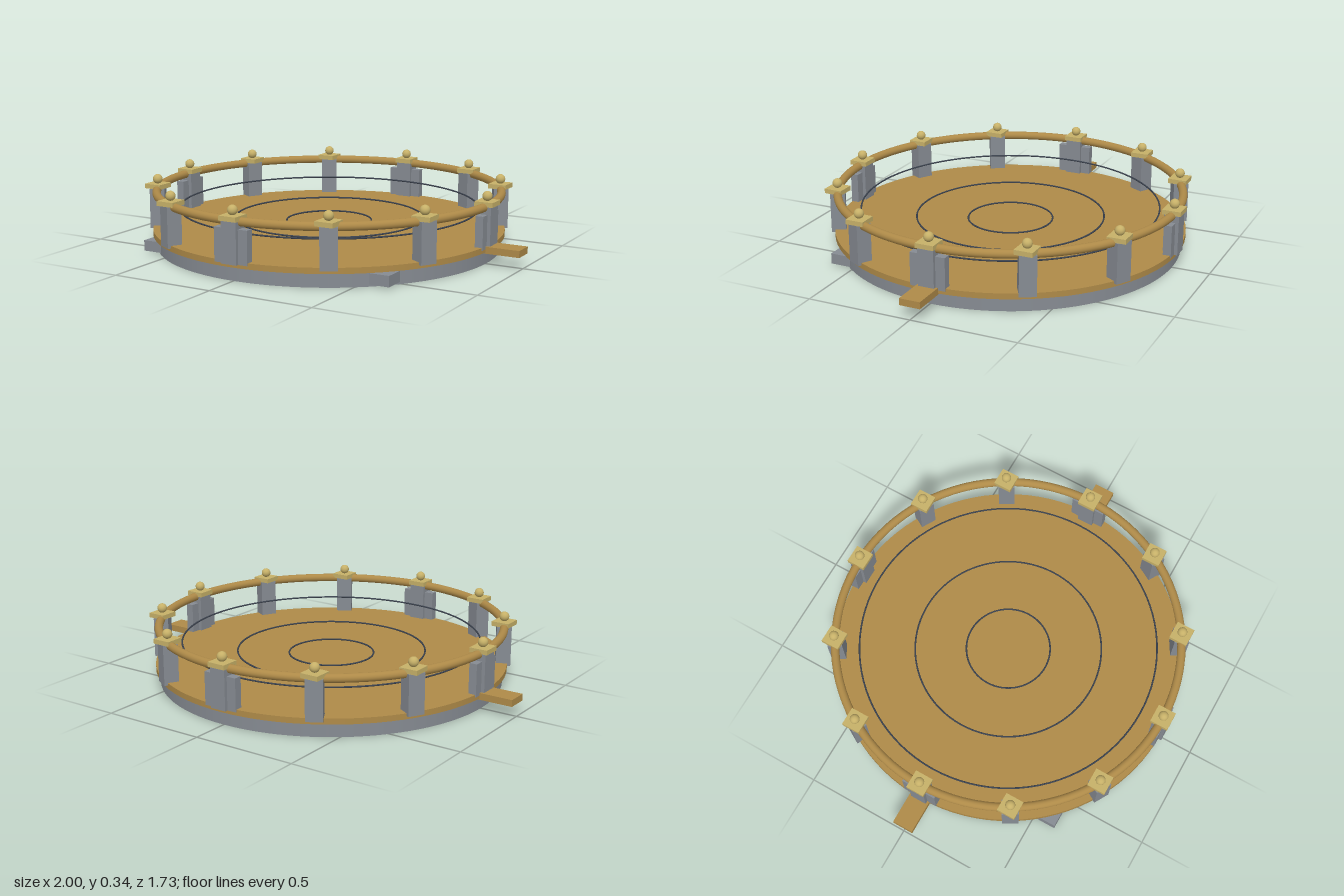
import * as THREE from 'three';

export function createModel() {
  const model = new THREE.Group();
  model.name = 'roundPlatform';

  const mat = (name, color) => {
    const m = new THREE.MeshStandardMaterial({ color });
    m.name = name;
    return m;
  };
  const stone = mat('greyStone', 0x868b92);
  const bronze = mat('bronze', 0xae8a48);
  const brass = mat('paleBrass', 0xc6b068);
  const dark = mat('darkSteel', 0x3b424e);

  const add = (name, geometry, material, x = 0, y = 0, z = 0, parent = model) => {
    const mesh = new THREE.Mesh(geometry, material);
    mesh.name = name;
    mesh.position.set(x, y, z);
    parent.add(mesh);
    return mesh;
  };
  // Horizontal ring
  const ring = (name, radius, tube, y, material, sides) =>
    add(name, new THREE.TorusGeometry(radius, tube, sides, 96).rotateX(Math.PI / 2), material, 0, y, 0);

  // Plinth and deck
  add('base', new THREE.CylinderGeometry(0.82, 0.82, 0.065, 96), stone, 0, 0.0325, 0);
  add('deck', new THREE.CylinderGeometry(0.84, 0.84, 0.027, 96), bronze, 0, 0.0785, 0);

  // Side beams and front feet
  for (const s of [1, -1]) {
    add('sideBeam', new THREE.BoxGeometry(0.2, 0.032, 0.1), bronze, s * 0.9, 0.0755, 0);
    add('frontFoot', new THREE.BoxGeometry(0.096, 0.05, 0.1), stone, s * 0.597, 0.035, 0.56);
  }

  // Thin rings hovering over the deck
  ring('outerRing', 0.713, 0.004, 0.187, dark, 8);
  ring('middleRing', 0.45, 0.004, 0.13, dark, 8);
  ring('innerRing', 0.203, 0.004, 0.113, dark, 8);

  // Handrail
  ring('handrail', 0.82, 0.02, 0.266, bronze, 16);

  // Posts face outward, their caps stay square to the axes
  const postGeo = new THREE.BoxGeometry(0.078, 0.19, 0.07);
  const buttressGeo = new THREE.BoxGeometry(0.17, 0.155, 0.038);
  const capGeo = new THREE.BoxGeometry(0.088, 0.022, 0.088);
  const ballGeo = new THREE.SphereGeometry(0.023, 20, 14);
  for (let i = 0; i < 12; i++) {
    const a = (i * Math.PI) / 6;
    const x = 0.82 * Math.sin(a), z = 0.82 * Math.cos(a);
    add('post', postGeo, stone, x, 0.175, z).rotation.y = a;
    if (i % 3 === 0) add('widePost', buttressGeo, stone, x, 0.1575, z).rotation.y = a;
    add('postCap', capGeo, brass, x, 0.281, z);
    add('postBall', ballGeo, brass, x, 0.313, z);
  }

  return model;
}
